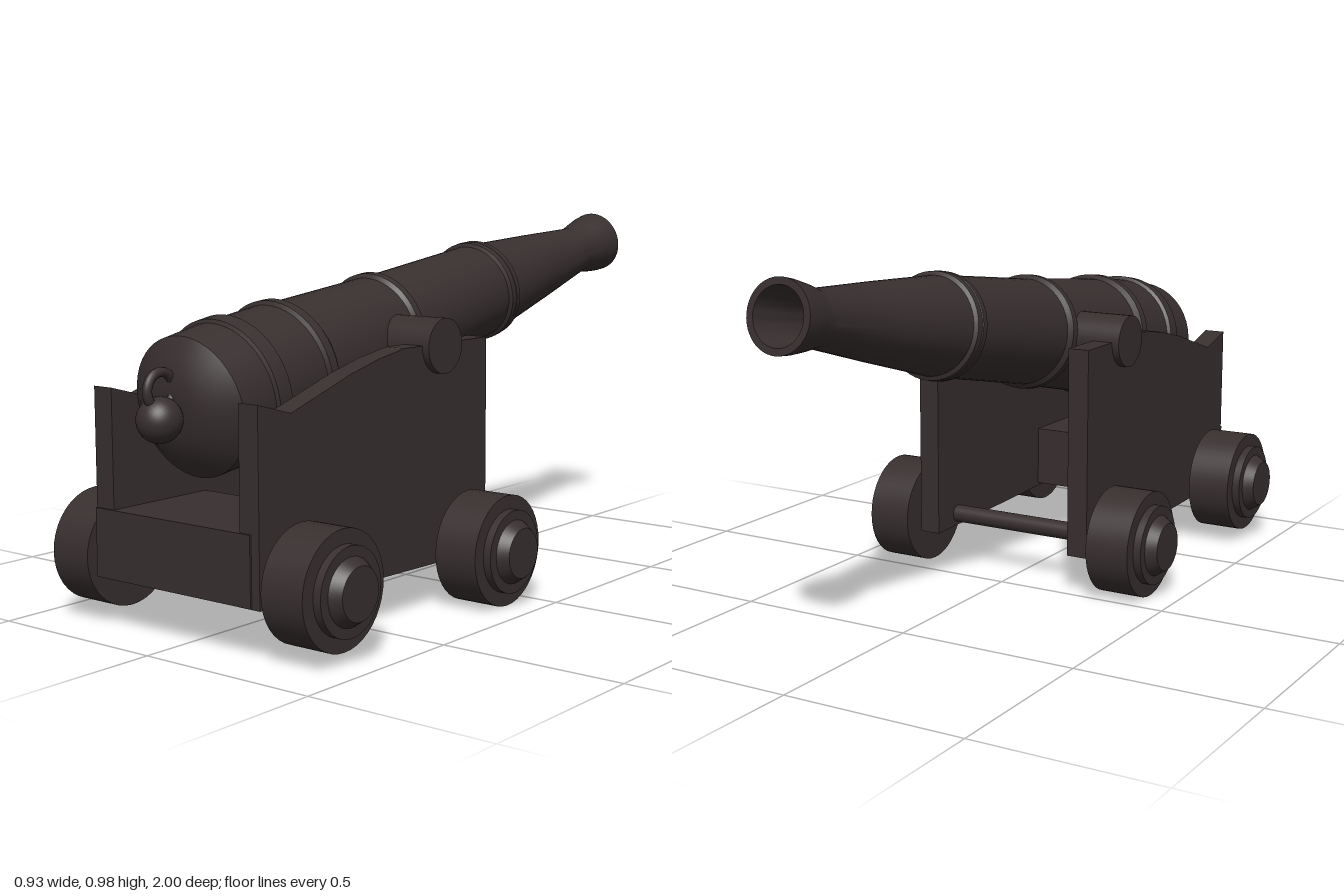
import * as THREE from 'three';
import { toCreasedNormals } from 'three/addons/utils/BufferGeometryUtils.js';

export function createModel() {
  const model = new THREE.Group();
  model.name = 'cannon';
  const iron = new THREE.MeshStandardMaterial({ name: 'dark iron brown', color: 0x382f2f });

  const add = (parent, name, geometry, x = 0, y = 0, z = 0) => {
    const mesh = new THREE.Mesh(geometry, iron);
    mesh.name = name;
    mesh.position.set(x, y, z);
    parent.add(mesh);
    return mesh;
  };
  const lathe = (profile, segments) => toCreasedNormals(
    new THREE.LatheGeometry(profile.map(([r, y]) => new THREE.Vector2(r, y)), segments), 0.4);
  const rod = (r, length) => new THREE.CylinderGeometry(r, r, length, 32).rotateZ(Math.PI / 2);

  // Gun: local +y runs along the bore towards the muzzle, local +z is up
  const gun = new THREE.Group();
  gun.name = 'gun';
  gun.position.set(0, 0.687, 0.21);
  gun.rotation.x = -THREE.MathUtils.degToRad(80);
  model.add(gun);

  add(gun, 'barrel', lathe([
    // rounded breech
    [0, -0.702], [0.05, -0.702], [0.085, -0.697], [0.135, -0.675], [0.177, -0.643],
    // base ring
    [0.18, -0.535], [0.189, -0.53], [0.189, -0.485], [0.179, -0.48],
    // first reinforce ring
    [0.175, -0.335], [0.185, -0.328], [0.183, -0.3], [0.17, -0.285],
    // second reinforce ring
    [0.151, 0.06], [0.161, 0.07], [0.16, 0.092], [0.148, 0.105],
    // chase ring
    [0.133, 0.525], [0.143, 0.53], [0.143, 0.548], [0.138, 0.55], [0.142, 0.552], [0.141, 0.57], [0.13, 0.575],
    // tapered chase and flared muzzle
    [0.1, 0.84], [0.07, 1.085], [0.08, 1.13], [0.088, 1.18], [0.09, 1.21],
    // bore
    [0.072, 1.21], [0.06, 1.15], [0.055, 1.08], [0.055, 0.8], [0, 0.8],
  ], 48));
  add(gun, 'breechKnob', new THREE.SphereGeometry(0.056, 32, 20), 0, -0.745, 0);
  add(gun, 'breechLoop', new THREE.TorusGeometry(0.043, 0.012, 12, 32).rotateY(Math.PI / 2), 0, -0.728, 0.068);
  add(gun, 'trunnion', rod(0.072, 0.58));

  // Carriage cheeks: side outline drawn as (z, y), extruded across x
  const outline = new THREE.Shape([
    [0, 0.112], [0.9, 0.132], [0.9, 0.612], [0.785, 0.58], [0.57, 0.648],
    [0.46, 0.675], [0.355, 0.692], [0, 0.692],
  ].map(([z, y]) => new THREE.Vector2(-z, y)));
  const cheek = new THREE.ExtrudeGeometry(outline, { depth: 0.06, bevelEnabled: false }).rotateY(Math.PI / 2);
  add(model, 'leftCheek', cheek, 0.21);
  add(model, 'rightCheek', cheek, -0.27);
  add(model, 'carriageBed', new THREE.BoxGeometry(0.515, 0.175, 0.325), -0.0125, 0.2215, 0.7425);

  // Axles and stepped wheels
  const wheel = lathe([
    [0, 0.29], [0.147, 0.29], [0.147, 0.415], [0.11, 0.415], [0.11, 0.437],
    [0.084, 0.437], [0.066, 0.465], [0, 0.465],
  ], 40).rotateZ(-Math.PI / 2);
  for (const [end, y, z] of [['front', 0.178, 0.772], ['rear', 0.149, 0.104]]) {
    add(model, end + 'Axle', rod(0.025, 0.62), 0, y, z);
    add(model, end + 'LeftWheel', wheel, 0, y, z);
    add(model, end + 'RightWheel', wheel, 0, y, z).rotation.y = Math.PI;
  }
  return model;
}
